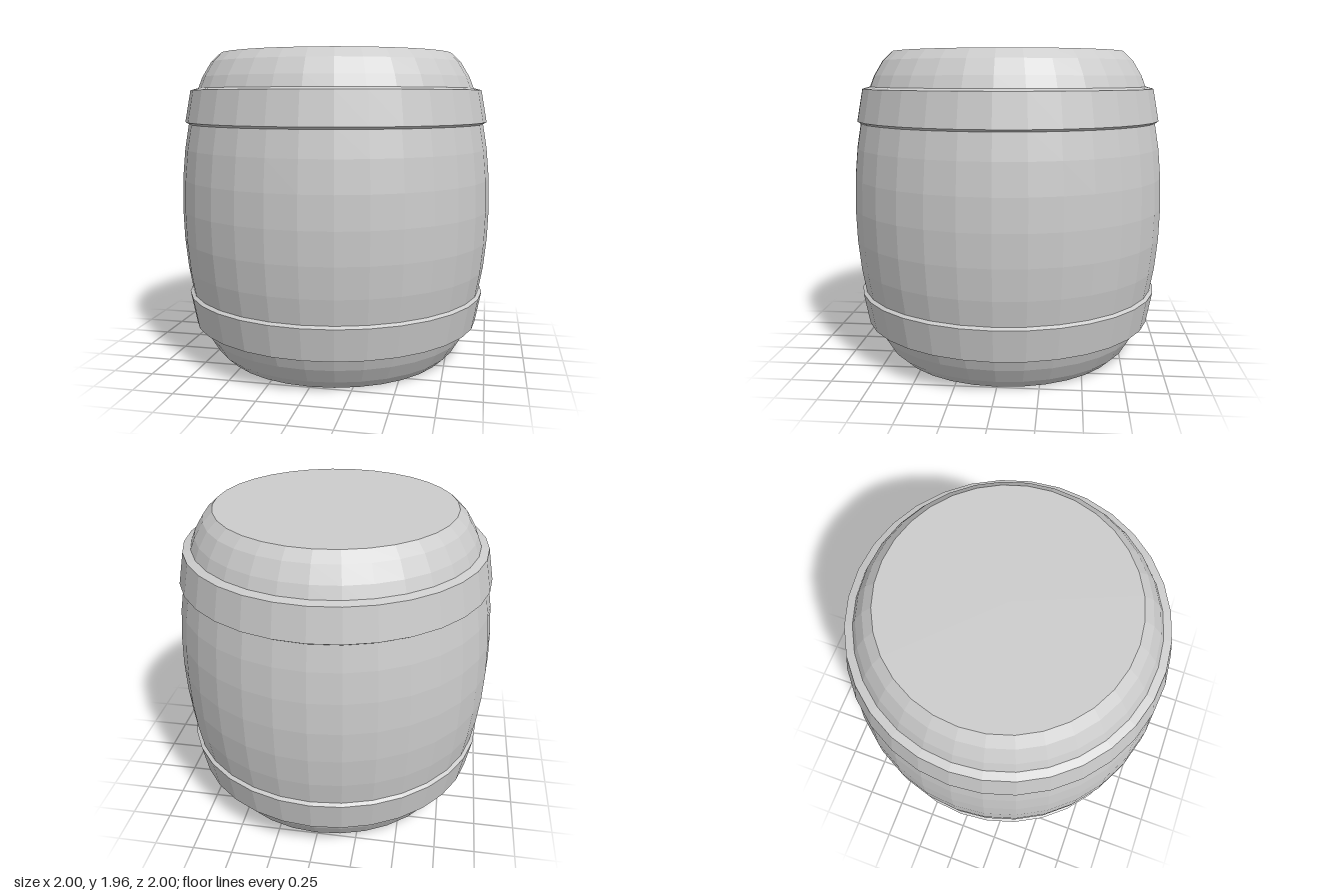
import * as THREE from 'three';

const SIDES = 32;
const HALF = Math.sin((7 * Math.PI) / 16); // half the barrel height

const material = new THREE.MeshStandardMaterial({ color: 0xcccccc, flatShading: true });

// Spin a list of [radius, height] pairs, bottom to top, around the y axis
function spin(name, profile) {
  const points = profile.map(([r, y]) => new THREE.Vector2(r, y));
  const mesh = new THREE.Mesh(new THREE.LatheGeometry(points, SIDES), material);
  mesh.name = name;
  return mesh;
}

export function createModel() {
  const barrel = new THREE.Group();
  barrel.name = 'barrel';

  // Bulging body: sphere rings pushed outward towards a cylinder, with flat ends
  const body = [[0, 0]];
  for (let i = -7; i <= 7; i++) {
    const a = (i * Math.PI) / 16;
    body.push([1 - 0.323 * (1 - Math.cos(a)), HALF + Math.sin(a)]);
  }
  body.push([0, 2 * HALF]);
  barrel.add(spin('body', body));

  // Hoops: flared bands with bevelled rims, mirrored about the middle
  const hoop = [[0.87, 0.217], [0.889, 0.22], [0.933, 0.232], [0.97, 0.43], [0.943, 0.447], [0.92, 0.449]];
  barrel.add(spin('lowerHoop', hoop));
  barrel.add(spin('upperHoop', hoop.map(([r, y]) => [r, 2 * HALF - y]).reverse()));

  return barrel;
}
